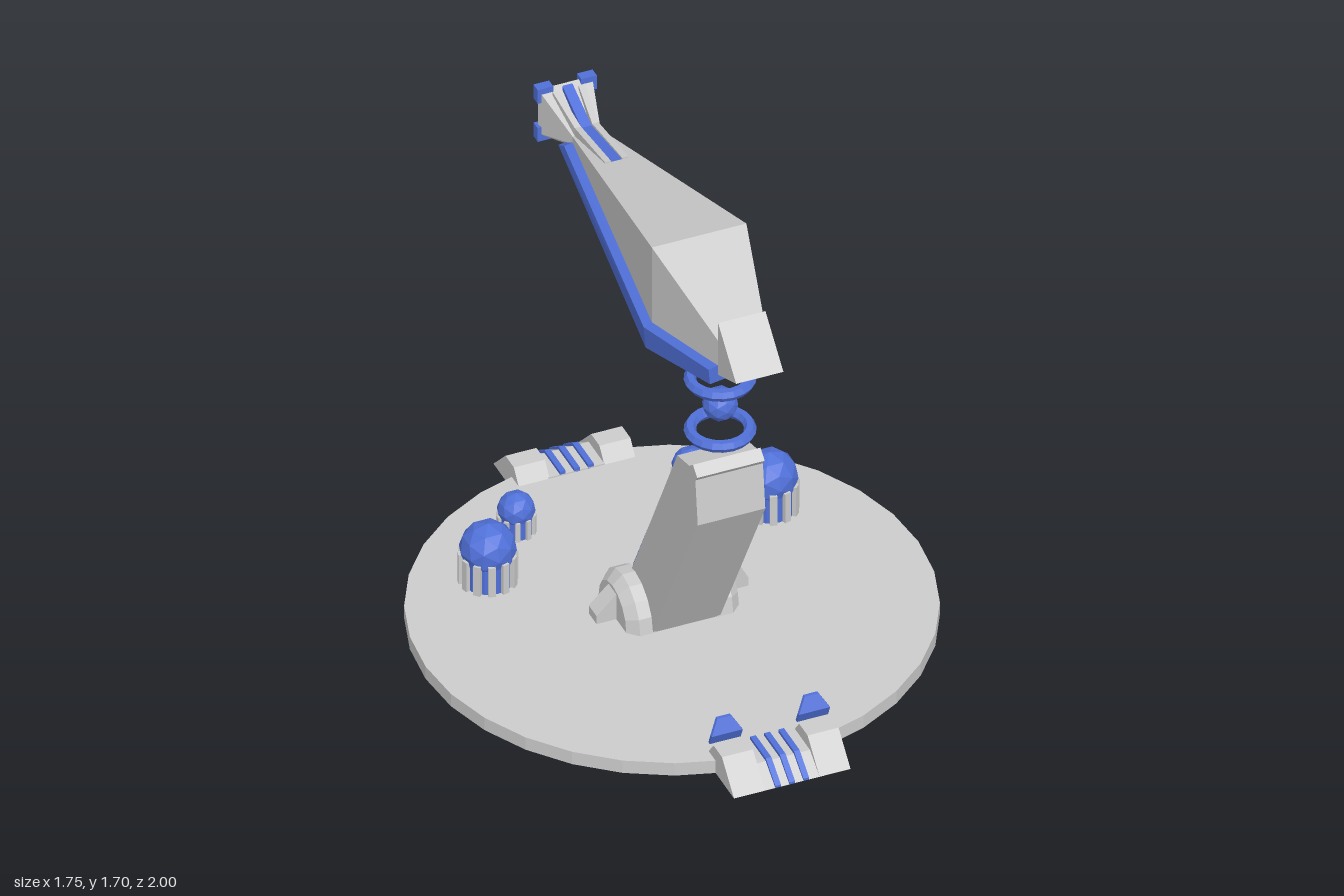
import * as THREE from 'three';

const grey = new THREE.MeshStandardMaterial({ color: 0xcccccc, flatShading: true });
const blue = new THREE.MeshStandardMaterial({ color: 0x5070d8, flatShading: true });
const black = new THREE.MeshStandardMaterial({ color: 0x0a0a0a, flatShading: true });

// Skin convex cross-sections (equal point counts), cap both ends, face outwards
function loft(sections) {
  const tris = [], n = sections[0].length;
  for (let s = 0; s + 1 < sections.length; s++) {
    const a = sections[s], b = sections[s + 1];
    for (let i = 0; i < n; i++) {
      const j = (i + 1) % n;
      tris.push([a[i], a[j], b[j]], [a[i], b[j], b[i]]);
    }
  }
  const first = sections[0], last = sections[sections.length - 1];
  for (let i = 1; i + 1 < n; i++) {
    tris.push([first[0], first[i + 1], first[i]], [last[0], last[i], last[i + 1]]);
  }
  const o = new THREE.Vector3(...first[0]);
  let volume = 0;
  for (const t of tris) {
    const [p, q, r] = t.map((v) => new THREE.Vector3(...v).sub(o));
    volume += p.dot(q.cross(r));
  }
  if (volume < 0) tris.forEach((t) => t.reverse());
  const g = new THREE.BufferGeometry();
  g.setAttribute('position', new THREE.Float32BufferAttribute(tris.flat(2), 3));
  g.computeVertexNormals();
  return g;
}

// Side profile of [z, y] points, given thickness across x
function prism(profile, width, x = 0) {
  const shape = new THREE.Shape(profile.map(([z, y]) => new THREE.Vector2(z, y)));
  const g = new THREE.ExtrudeGeometry(shape, { depth: width, bevelEnabled: false });
  return g.rotateY(-Math.PI / 2).translate(x + width / 2, 0, 0);
}

function add(parent, name, geometry, material, x = 0, y = 0, z = 0) {
  const m = new THREE.Mesh(geometry, material);
  m.name = name;
  m.position.set(x, y, z);
  parent.add(m);
  return m;
}

function group(parent, name) {
  const g = new THREE.Group();
  g.name = name;
  parent.add(g);
  return g;
}

// Landing ramp on the rim, modelled facing +z
function ramp(parent, name) {
  const g = group(parent, name);
  const side = [[1, 0], [0.9, 0.1], [0.83, 0.1], [0.79, 0.05], [0.79, 0]];
  for (const s of [-1, 1]) add(g, 'rampBlock', prism(side, 0.11, s * 0.152), grey);
  add(g, 'rampSlope', prism([[1, 0], [0.92, 0.055], [0.79, 0.055], [0.79, 0]], 0.2), grey);
  const stripe = [[1, 0], [1, 0.008], [0.92, 0.066], [0.79, 0.066], [0.79, 0]];
  for (const x of [-0.05, 0, 0.05]) add(g, 'rampStripe', prism(stripe, 0.02, x), blue);
  return g;
}

// Domed tank ringed with posts
function tank(parent, x, z, r, top, posts) {
  const g = group(parent, 'tank');
  g.position.set(x, 0, z);
  const mid = top - r;
  add(g, 'tankDome', new THREE.IcosahedronGeometry(r, 1), blue, 0, mid, 0);
  add(g, 'tankWall', new THREE.CylinderGeometry(r * 0.9, r * 0.9, mid - 0.05, 12), blue, 0, (mid + 0.05) / 2, 0);
  const h = mid - 0.065;
  for (let i = 0; i < posts; i++) {
    const a = ((i + 0.5) / posts) * Math.PI * 2;
    const p = add(g, 'tankPost', new THREE.BoxGeometry(r * 0.25, h, r * 0.2), grey,
      Math.sin(a) * r * 0.93, 0.05 + h / 2, Math.cos(a) * r * 0.93);
    p.rotation.y = a;
  }
}

// Hexagonal hull section: [z, half width, top, side bottom, keel, keel half width]
const hullSection = ([z, w, t, sb, b, bw]) => [
  [-w, t, z], [w, t, z], [w, sb, z], [bw, b, z], [-bw, b, z], [-w, sb, z],
];

export function createModel() {
  const model = new THREE.Group();
  model.name = 'beamCannonPlatform';

  // Round platform with ramps at front and back
  add(model, 'platform', new THREE.CylinderGeometry(0.875, 0.875, 0.05, 32).rotateY(Math.PI / 2), grey, 0, 0.025, 0);
  const frontRamp = ramp(model, 'frontRamp');
  ramp(model, 'backRamp').rotation.y = Math.PI;

  // Slanted consoles on the front ramp
  for (const s of [-1, 1]) {
    const row = (w, y, z) => [
      [s * 0.155 - w, y, z + 0.006], [s * 0.155 + w, y, z + 0.006],
      [s * 0.155 + w, y, z - 0.006], [s * 0.155 - w, y, z - 0.006],
    ];
    add(frontRamp, 'console', loft([row(0.055, 0.09, 0.8), row(0.055, 0.13, 0.817), row(0.025, 0.178, 0.792)]), blue);
  }

  // Tanks behind the arm
  for (const s of [-1, 1]) {
    tank(model, s * 0.5, -0.36, 0.096, 0.277, 12);
    tank(model, s * 0.31, -0.57, 0.064, 0.203, 10);
  }

  // Leaning arm with rear light strips
  const arm = group(model, 'arm');
  add(arm, 'armBeam', prism([[0.12, 0.05], [0.495, 0.74], [0.475, 0.91], [0.49, 0.93], [0.455, 0.96],
    [0.425, 0.935], [0.325, 0.91], [-0.13, 0.05]], 0.24), grey);
  for (const s of [-1, 1]) {
    add(arm, 'armStrip', prism([[-0.04, 0.2], [0.175, 0.6], [0.158, 0.605], [-0.057, 0.205]], 0.02, s * 0.105), blue);
  }

  // Half-round hinges with sloping fins
  for (const s of [-1, 1]) {
    const hinge = group(model, 'hinge');
    const arc = (x, r) => Array.from({ length: 9 }, (_, i) => {
      const a = (i / 8) * Math.PI;
      return [s * x, 0.05 + Math.sin(a) * r, -0.027 + Math.cos(a) * r];
    });
    add(hinge, 'hingeDrum', loft([arc(0.11, 0.15), arc(0.165, 0.15), arc(0.2, 0.115)]), grey);
    const fin = (x, y) => [[s * x, 0.05, 0.005], [s * x, y, 0.005], [s * x, y, -0.06], [s * x, 0.05, -0.06]];
    add(hinge, 'hingeFin', loft([fin(0.15, 0.19), fin(0.185, 0.165), fin(0.27, 0.082)]), grey);
  }

  // Floating rings and orb
  const coupling = group(model, 'coupling');
  for (const y of [1.035, 1.242]) {
    add(coupling, 'ring', new THREE.TorusGeometry(0.099, 0.021, 6, 20).rotateX(Math.PI / 2), blue, 0, y, 0.4);
  }
  add(coupling, 'orb', new THREE.IcosahedronGeometry(0.06, 1), blue, 0, 1.137, 0.4);

  // Cannon hull, flaring into a square muzzle
  const cannon = group(model, 'cannon');
  add(cannon, 'hull', loft([
    [0.58, 0.085, 1.54, 1.43, 1.39, 0.05],
    [0.225, 0.168, 1.7, 1.39, 1.325, 0.1],
    [-0.71, 0.05, 1.48, 1.45, 1.43, 0.03],
    [-0.89, 0.096, 1.562, 1.385, 1.378, 0.09],
  ].map(hullSection)), grey);
  add(cannon, 'nose', prism([[0.58, 1.61], [0.73, 1.465], [0.58, 1.4]], 0.168), grey);

  // Rails under the hull edges, ends cut at a slant
  for (const s of [-1, 1]) {
    const rail = (...pts) => pts.map(([x, y, z]) => [s * x, y, z]);
    add(cannon, 'rail', loft([
      rail([0.08, 1.44, 0.58], [0.118, 1.43, 0.58], [0.113, 1.37, 0.58], [0.045, 1.38, 0.58]),
      rail([0.16, 1.4, 0.225], [0.197, 1.385, 0.225], [0.19, 1.3, 0.225], [0.088, 1.305, 0.225]),
      rail([0.045, 1.458, -0.71], [0.08, 1.45, -0.71], [0.075, 1.413, -0.77], [0.025, 1.42, -0.77]),
    ]), blue);
  }

  // Sight on top of the neck
  for (const s of [-1, 1]) {
    const bar = (x, y, z, b) => [[s * x, y, z], [s * (x + 0.022), y, z], [s * (x + 0.022), b, z], [s * x, b, z]];
    add(cannon, 'sightBar', loft([
      bar(0.02, 1.543, -0.46, 1.5), bar(0.02, 1.512, -0.71, 1.46), bar(0.035, 1.562, -0.86, 1.51),
    ]), grey);
  }
  add(cannon, 'sightStrip', prism([[-0.46, 1.541], [-0.71, 1.506], [-0.87, 1.568], [-0.87, 1.53],
    [-0.71, 1.47], [-0.46, 1.5]], 0.036), blue);

  // Dark muzzle opening and corner brackets
  add(cannon, 'muzzleOpening', new THREE.BoxGeometry(0.165, 0.165, 0.01), black, 0, 1.47, -0.889);
  for (const sx of [-1, 1]) {
    for (const sy of [-1, 1]) {
      add(cannon, 'bracketFlat', new THREE.BoxGeometry(0.055, 0.022, 0.035), blue, sx * 0.077, 1.47 + sy * 0.094, -0.888);
      add(cannon, 'bracketUpright', new THREE.BoxGeometry(0.022, 0.055, 0.035), blue, sx * 0.094, 1.47 + sy * 0.077, -0.888);
    }
  }
  return model;
}
